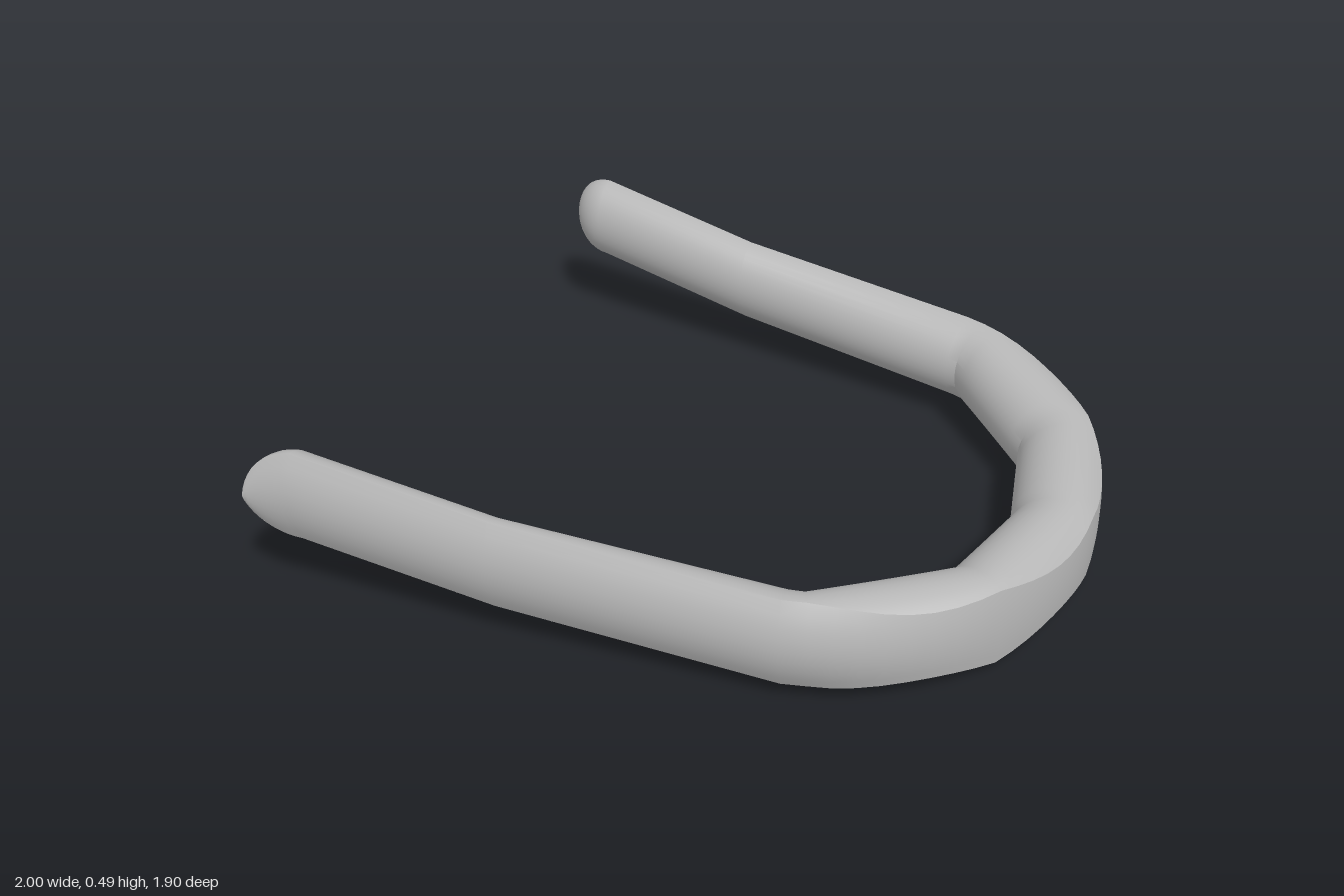
import * as THREE from 'three';
import { toCreasedNormals } from 'three/addons/utils/BufferGeometryUtils.js';

const R = 0.13; // half height of the band
const lerp = THREE.MathUtils.lerp;

// Point on the smooth outer arc
const arc = (t) => [0.25 + 0.75 * Math.cos(t), 0.825 * Math.sin(t)];

// Stations of one half, from tip to front: inner point, outer point, mid height,
// half height, outer depth beyond the centre line and bulge of the outer face
function halfStations() {
  const list = [];
  // rounded tip
  for (let i = 0; i < 10; i++) {
    const th = (1 - i / 10) * Math.PI / 2;
    const k = Math.max(Math.cos(th), 0.002);
    const s = Math.sin(th);
    const x = -0.87 - 0.13 * s;
    const oz = 0.936 + 0.014 * s;
    list.push({ inner: [x, oz - 0.138 * k], outer: [x, oz], y: 0.367, r: R * k, b: 0.036 * k, s: 0.036 * k });
  }
  // straight arm
  list.push({ inner: [-0.87, 0.798], outer: [-0.87, 0.936], y: 0.367, r: R, b: 0.036, s: 0.036 });
  list.push({ inner: [-0.34, 0.745], outer: [-0.34, 0.881], y: 0.267, r: R, b: 0.036, s: 0.036 });
  list.push({ inner: [0.39, 0.635], outer: arc(1.342), y: 0.195, r: R, b: 0.04, s: 0.04 });
  // bend: straight inner chords, smooth outer arc
  const corners = [
    { p: [0.42, 0.63], t: 1.245, y: 0.192, a: 0.122, s: 0.04 },
    { p: [0.70, 0.345], t: 0.575, y: 0.15, a: 0.136, s: 0.012 },
    { p: [0.775, 0], t: 0, y: 0.135, a: 0.131, s: 0.008 },
  ];
  for (let c = 0; c < 2; c++) {
    const A = corners[c], B = corners[c + 1];
    for (let i = 0; i < 8 + c; i++) {
      const f = i / 8;
      const inner = [lerp(A.p[0], B.p[0], f), lerp(A.p[1], B.p[1], f)];
      const outer = arc(lerp(A.t, B.t, f));
      const w = Math.hypot(outer[0] - inner[0], outer[1] - inner[1]);
      list.push({ inner, outer, y: lerp(A.y, B.y, f), r: R, b: w - lerp(A.a, B.a, f), s: lerp(A.s, B.s, f) });
    }
  }
  return list;
}

// Closed cross-section: round inside, shallow cut face outside
function ring({ inner, outer, y, r, b, s }) {
  const dx = outer[0] - inner[0], dz = outer[1] - inner[1];
  const w = Math.hypot(dx, dz);
  const a = w - b;
  const cut = (v) => b - s * (v / r) ** 2;
  const round = (v) => Math.sqrt(Math.max(r * r - v * v, 0));
  // height at which the round tube meets the cut face
  let lo = 0, hi = r;
  for (let i = 0; i < 30; i++) {
    const m = (lo + hi) / 2;
    if (round(m) > cut(m)) lo = m; else hi = m;
  }
  const edge = Math.asin(Math.min(lo / r, 1));
  const pts = [];
  for (let i = 0; i < 4; i++) {
    const an = lerp(Math.PI / 2, edge, i / 4);
    pts.push([r * Math.cos(an), r * Math.sin(an)]);
  }
  for (let i = 0; i <= 8; i++) {
    const v = lerp(lo, -lo, i / 8);
    pts.push([cut(v), v]);
  }
  for (let i = 1; i <= 4; i++) {
    const an = lerp(edge, Math.PI / 2, i / 4);
    pts.push([r * Math.cos(an), -r * Math.sin(an)]);
  }
  for (let i = 1; i < 18; i++) {
    const an = Math.PI * i / 18;
    pts.push([-a * Math.sin(an), -r * Math.cos(an)]);
  }
  return pts.map(([u, v]) => {
    const f = (a + u) / w;
    return [inner[0] + dx * f, y + v, inner[1] + dz * f];
  });
}

export function createModel() {
  const half = halfStations();
  const flip = ([x, z]) => [x, -z];
  const mirrored = half.slice(0, -1).reverse()
    .map((q) => ({ ...q, inner: flip(q.inner), outer: flip(q.outer) }));
  const rings = [...half, ...mirrored].map(ring);

  // skin the rings
  const n = rings[0].length;
  const index = [];
  for (let i = 0; i < rings.length - 1; i++) {
    for (let j = 0; j < n; j++) {
      const a = i * n + j, b = i * n + (j + 1) % n;
      index.push(a, b, a + n, b, b + n, a + n);
    }
  }
  const geo = new THREE.BufferGeometry();
  geo.setAttribute('position', new THREE.Float32BufferAttribute(rings.flat(2), 3));
  geo.setIndex(index);

  const grey = new THREE.MeshStandardMaterial({ color: 0xb8b8b8 });
  grey.name = 'light grey';
  const band = new THREE.Mesh(toCreasedNormals(geo, 0.55), grey);
  band.name = 'curvedBand';

  const group = new THREE.Group();
  group.name = 'openBand';
  group.add(band);
  return group;
}
